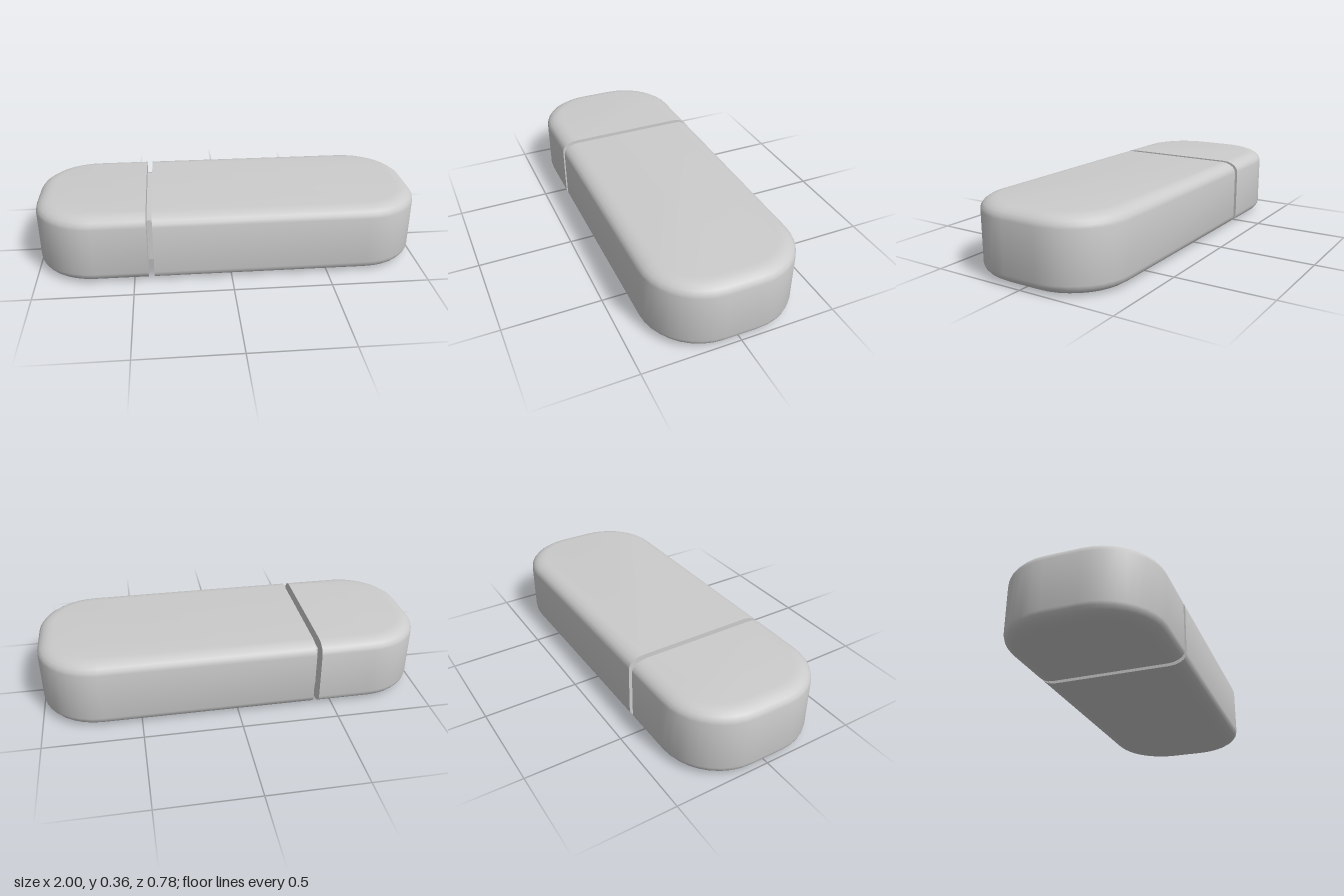
import * as THREE from 'three';
import { toCreasedNormals } from 'three/addons/utils/BufferGeometryUtils.js';

const HALF_DEPTH = 0.388, HEIGHT = 0.364, CORNER = 0.3;
const EDGE_IN = 0.085, EDGE_UP = 0.055; // rounded rim: inset and rise
const ARC = 9, RIM = 5;

// Plan outline of one half: flat at the cut, two rounded corners at the end
function outline(cut, end, inset) {
  const dir = Math.sign(end - cut);
  const r = CORNER - inset, cx = end - dir * CORNER, cz = HALF_DEPTH - CORNER;
  const pts = [[cut, -HALF_DEPTH + inset]];
  for (const side of [-1, 1]) {
    for (let i = 0; i <= ARC; i++) {
      const a = (side < 0 ? i - ARC : i) / ARC * Math.PI / 2;
      pts.push([cx + dir * r * Math.cos(a), side * cz + r * Math.sin(a)]);
    }
  }
  pts.push([cut, HALF_DEPTH - inset]);
  return dir > 0 ? pts : pts.reverse();
}

// Stack the outlines from bottom to top, with a rounded rim at both ends
function shell(cut, end) {
  const levels = [];
  for (let i = 0; i <= RIM; i++) {
    const a = i / RIM * Math.PI / 2;
    levels.push([EDGE_IN * (1 - Math.sin(a)), EDGE_UP * (1 - Math.cos(a))]);
  }
  for (let i = RIM; i >= 0; i--) levels.push([levels[i][0], HEIGHT - levels[i][1]]);

  const pos = [], index = [];
  for (const [inset, y] of levels) {
    for (const [x, z] of outline(cut, end, inset)) pos.push(x, y, z);
  }
  const n = pos.length / 3 / levels.length, top = (levels.length - 1) * n;
  for (let l = 0; l < levels.length - 1; l++) {
    for (let i = 0; i < n; i++) {
      const a = l * n + i, b = l * n + (i + 1) % n;
      index.push(a, a + n, b, b, a + n, b + n);
    }
  }
  // Flat bottom and top
  for (let i = 1; i < n - 1; i++) {
    index.push(0, i, i + 1, top, top + i + 1, top + i);
  }
  const geo = new THREE.BufferGeometry();
  geo.setAttribute('position', new THREE.Float32BufferAttribute(pos, 3));
  geo.setIndex(index);
  return toCreasedNormals(geo, 0.7);
}

export function createModel() {
  const group = new THREE.Group();
  const grey = new THREE.MeshStandardMaterial({ color: 0xcccccc });
  const add = (name, geo) => {
    const mesh = new THREE.Mesh(geo, grey);
    mesh.name = name;
    group.add(mesh);
    return mesh;
  };

  add('body', shell(-0.397, 1));
  add('cap', shell(-0.427, -1));

  // Plug seen in the gap between body and cap
  add('plug', new THREE.BoxGeometry(0.1, 0.226, 0.595)).position.set(-0.412, 0.188, -0.01);

  return group;
}
